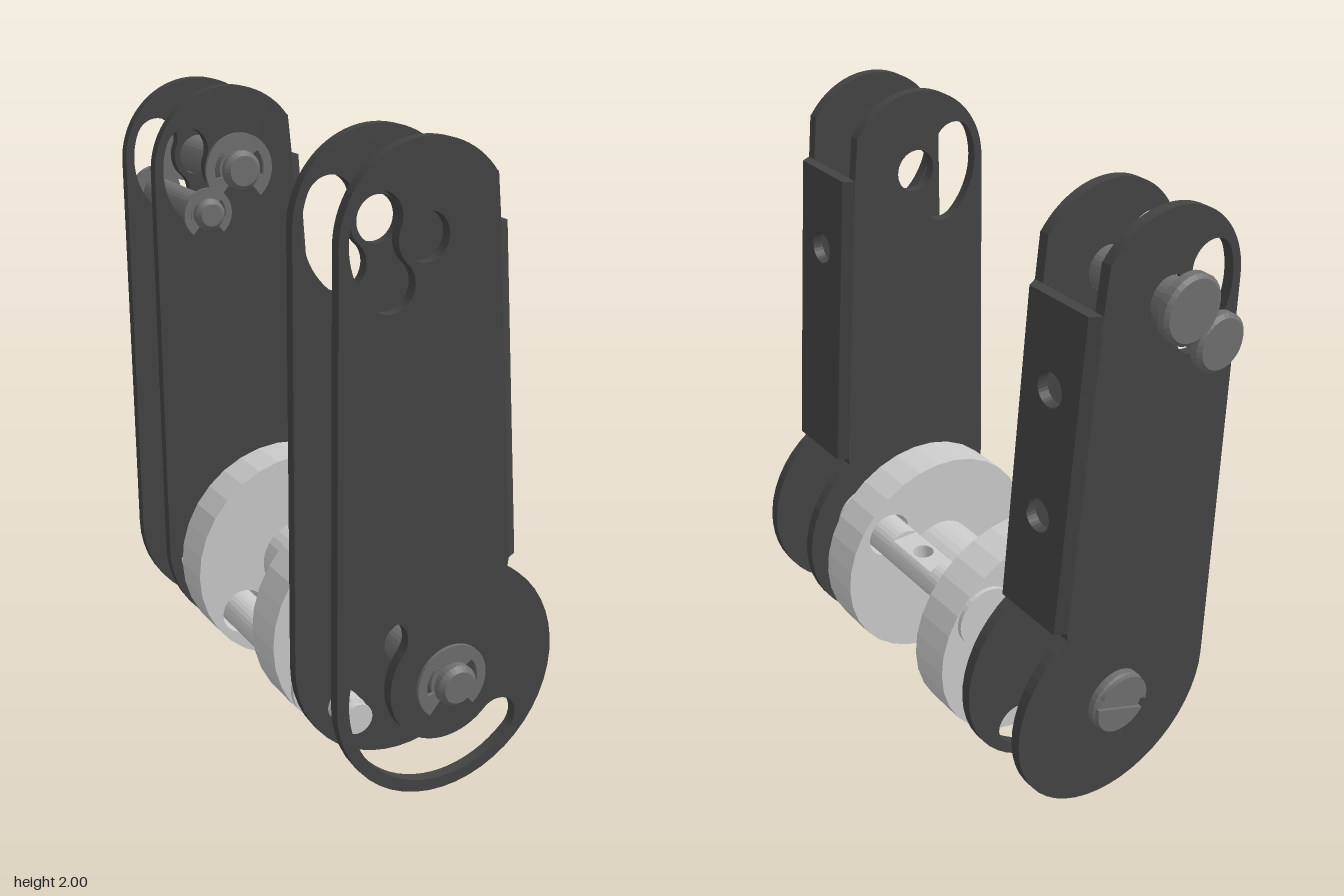
import * as THREE from 'three';

const mat = (color, extra = {}) => new THREE.MeshStandardMaterial({ color, flatShading: true, ...extra });
const GREY = mat(0xcccccc), DARK = mat(0x444444), STEEL = mat(0x707070), BLUE = mat(0x2030ee);
const AXLE = [0, 0.38], PIVOT = [-0.11, 1.735], LATCH = [-0.23, 1.6];
const ROD = [-0.215, 0.215], SPACER = [0.21, 0.55];

function add(parent, name, geo, material, x = 0, y = 0, z = 0) {
  const m = new THREE.Mesh(geo, material);
  m.name = name;
  m.position.set(x, y, z);
  parent.add(m);
  return m;
}

const extrude = (shape, depth) =>
  new THREE.ExtrudeGeometry(shape, { depth, bevelEnabled: false, curveSegments: 16 });

const circle = (x, y, r, Type = THREE.Path) => {
  const p = new Type();
  p.absarc(x, y, r, 0, Math.PI * 2, false);
  return p;
};

// Curved slot of half width w along an arc of radius R
function arcSlot(cx, cy, R, w, deg0, deg1) {
  const a = THREE.MathUtils.degToRad(deg0), b = THREE.MathUtils.degToRad(deg1);
  const p = new THREE.Path();
  p.absarc(cx, cy, R + w, a, b, false);
  p.absarc(cx + R * Math.cos(b), cy + R * Math.sin(b), w, b, b + Math.PI, false);
  p.absarc(cx, cy, R - w, b, a, true);
  p.absarc(cx + R * Math.cos(a), cy + R * Math.sin(a), w, a + Math.PI, a + Math.PI * 2, false);
  return p;
}

// Side plate of a bracket, with extra cut-outs at the lower end
function plateGeometry(extraHoles) {
  const s = new THREE.Shape();
  s.moveTo(-0.38, 0.38);
  s.absarc(0, 0.38, 0.38, Math.PI, Math.PI * 2 + 1.012, false);
  s.lineTo(0.205, 0.73);
  s.lineTo(0.125, 1.75);
  s.lineTo(0.11, 1.89);
  s.absarc(-0.11, 1.73, 0.27, 0.63, Math.PI, false);
  s.closePath();
  s.holes.push(circle(...AXLE, 0.066), circle(...PIVOT, 0.07),
    arcSlot(...PIVOT, 0.165, 0.075, 158, 228), ...extraHoles);
  return extrude(s, 0.035);
}

// Sloping web joining the two plates, narrowed towards its outer face
function webGeometry(holeHeights) {
  const s = new THREE.Shape();
  s.moveTo(-0.145, 0.73);
  s.lineTo(0.145, 0.73);
  s.lineTo(0.145, 1.75);
  s.lineTo(-0.145, 1.75);
  s.closePath();
  holeHeights.forEach(y => s.holes.push(circle(0, y, 0.053)));
  const g = extrude(s, 0.035).rotateY(Math.PI / 2);
  const p = g.attributes.position;
  for (let i = 0; i < p.count; i++) {
    const x = p.getX(i), y = p.getY(i), z = p.getZ(i);
    if (x > 0.03 && Math.abs(z) > 0.1) p.setZ(i, z * 0.86);
    p.setX(i, x + 0.205 - (y - 0.73) * 0.0784);
  }
  g.computeVertexNormals();
  return g;
}

function bracket(parent, name, z, webHoles, innerHoles) {
  const b = new THREE.Group();
  b.name = name;
  b.position.z = z;
  add(b, 'slottedPlate', plateGeometry([arcSlot(...AXLE, 0.27, 0.07, 142, 314)]), DARK, 0, 0, 0.11);
  add(b, 'plainPlate', plateGeometry(innerHoles), DARK, 0, 0, -0.145);
  add(b, 'web', webGeometry(webHoles), DARK);
  parent.add(b);
}

// Turned part along z from [radius, z] points
function turned(parent, name, pts, material, [x, y]) {
  const g = new THREE.LatheGeometry(pts.map(p => new THREE.Vector2(...p)), 28).rotateX(Math.PI / 2);
  return add(parent, name, g, material, x, y, 0);
}

// Headed pin with a clip groove and chamfered tip
function pin(parent, name, at, r, headR, z0, z1, clipZ) {
  turned(parent, name, [
    [0, z0], [headR - 0.012, z0], [headR, z0 + 0.01], [headR, z0 + 0.035], [r, z0 + 0.035],
    [r, clipZ - 0.008], [r * 0.75, clipZ - 0.008], [r * 0.75, clipZ + 0.008],
    [r, clipZ + 0.008], [r, z1 - 0.015], [r - 0.015, z1], [0, z1]], STEEL, at);
}

// Retaining clip: open ring with three inward tabs
function clip(parent, name, [x, y], z, R, material) {
  const s = new THREE.Shape();
  const a0 = -0.28 * Math.PI, a1 = 1.28 * Math.PI, n = 40;
  s.absarc(0, 0, R, a0, a1, false);
  for (let i = 0; i <= n; i++) {
    const t = i / n, a = a1 + (a0 - a1) * t;
    const tab = t < 0.12 || t > 0.88 || Math.abs(t - 0.5) < 0.16;
    const r = R * (tab ? 0.45 : 0.74);
    s.lineTo(r * Math.cos(a), r * Math.sin(a));
  }
  s.closePath();
  add(parent, name, extrude(s, 0.012), material, x, y, z - 0.006);
}

const ring = (R, r, depth) => {
  const s = circle(0, 0, R, THREE.Shape);
  s.holes.push(circle(0, 0, r));
  return extrude(s, depth);
};

// Cross spacer with two flats and a drilled hole in the middle
function spacer(parent) {
  const g = new THREE.Group();
  g.name = 'crossSpacer';
  g.position.set(...SPACER, 0);
  for (const [a, b] of [[-0.35, -0.1], [0.12, 0.385]])
    add(g, 'spacerEnd', new THREE.CylinderGeometry(0.068, 0.068, b - a, 28).rotateX(Math.PI / 2), GREY, 0, 0, (a + b) / 2);
  const flat = new THREE.Shape();
  flat.moveTo(-0.046, -0.11);
  flat.lineTo(0.046, -0.11);
  flat.lineTo(0.046, 0.11);
  flat.lineTo(-0.046, 0.11);
  flat.closePath();
  flat.holes.push(circle(0, 0, 0.035));
  add(g, 'spacerFlat', extrude(flat, 0.1).translate(0, 0, -0.05).rotateX(Math.PI / 2), GREY, 0, 0, 0.01);
  for (const a of [0, Math.PI]) {
    const side = new THREE.Shape();
    side.absarc(0, 0, 0.068, a - 0.826, a + 0.826, false);
    side.closePath();
    add(g, 'spacerSide', extrude(side, 0.22), GREY, 0, 0, -0.1);
  }
  parent.add(g);
}

export function createModel() {
  const model = new THREE.Group();
  model.name = 'rollerAssembly';

  // Brackets
  bracket(model, 'frontBracket', 0.625, [1.485], [circle(...ROD, 0.052)]);
  bracket(model, 'backBracket', -0.592, [1.485, 1.08], []);

  // Spool: two flanges on a hub
  const flange = circle(...AXLE, 0.38, THREE.Shape);
  flange.holes.push(circle(...SPACER, 0.08), circle(...ROD, 0.08));
  for (const z of [0.22, -0.335]) add(model, 'flange', extrude(flange, 0.148), GREY, 0, 0, z);
  add(model, 'hub', new THREE.CylinderGeometry(0.135, 0.135, 0.45, 32).rotateX(Math.PI / 2), GREY, ...AXLE, 0.015);
  for (const at of [SPACER, ROD])
    for (const z of [0.368, -0.35]) add(model, 'collar', ring(0.105, 0.05, 0.016), GREY, ...at, z);
  add(model, 'blueWasher', ring(0.118, 0.06, 0.018), BLUE, ...AXLE, -0.353);
  spacer(model);

  // Long rod through the spool, thicker between the flanges
  turned(model, 'lockRod', [
    [0, -0.58], [0.04, -0.58], [0.052, -0.57], [0.052, -0.35], [0.065, -0.35], [0.065, 0.37],
    [0.052, 0.37], [0.052, 0.575], [0.04, 0.58], [0.04, 0.595], [0.05, 0.6], [0.05, 0.612], [0, 0.612]], GREY, ROD);
  clip(model, 'rodClip', ROD, -0.56, 0.095, GREY);

  // Small stop peg on the back flange
  turned(model, 'stopPeg', [
    [0, -0.525], [0.04, -0.525], [0.04, -0.475], [0.027, -0.475], [0.027, -0.33], [0, -0.33]], GREY, [-0.03, 0.11]);

  // Axle with a slotted head
  pin(model, 'axle', AXLE, 0.066, 0.105, -0.768, 0.835, 0.79);
  for (const a of [0.5, 1.5]) {
    const half = new THREE.Shape();
    half.absarc(0, 0, 0.1, Math.PI * a - 1.4, Math.PI * a + 1.4, false);
    half.closePath();
    add(model, 'axleHeadHalf', extrude(half, 0.014), STEEL, ...AXLE, -0.78).rotation.z = 0.4;
  }
  clip(model, 'axleClip', AXLE, 0.79, 0.12, STEEL);

  // Pins at the top of the back bracket
  pin(model, 'pivotPin', PIVOT, 0.065, 0.105, -0.835, -0.335, -0.378);
  clip(model, 'pivotClip', PIVOT, -0.378, 0.12, STEEL);
  pin(model, 'latchPin', LATCH, 0.052, 0.09, -0.835, -0.335, -0.378);
  clip(model, 'latchClip', LATCH, -0.37, 0.085, STEEL);

  return model;
}
